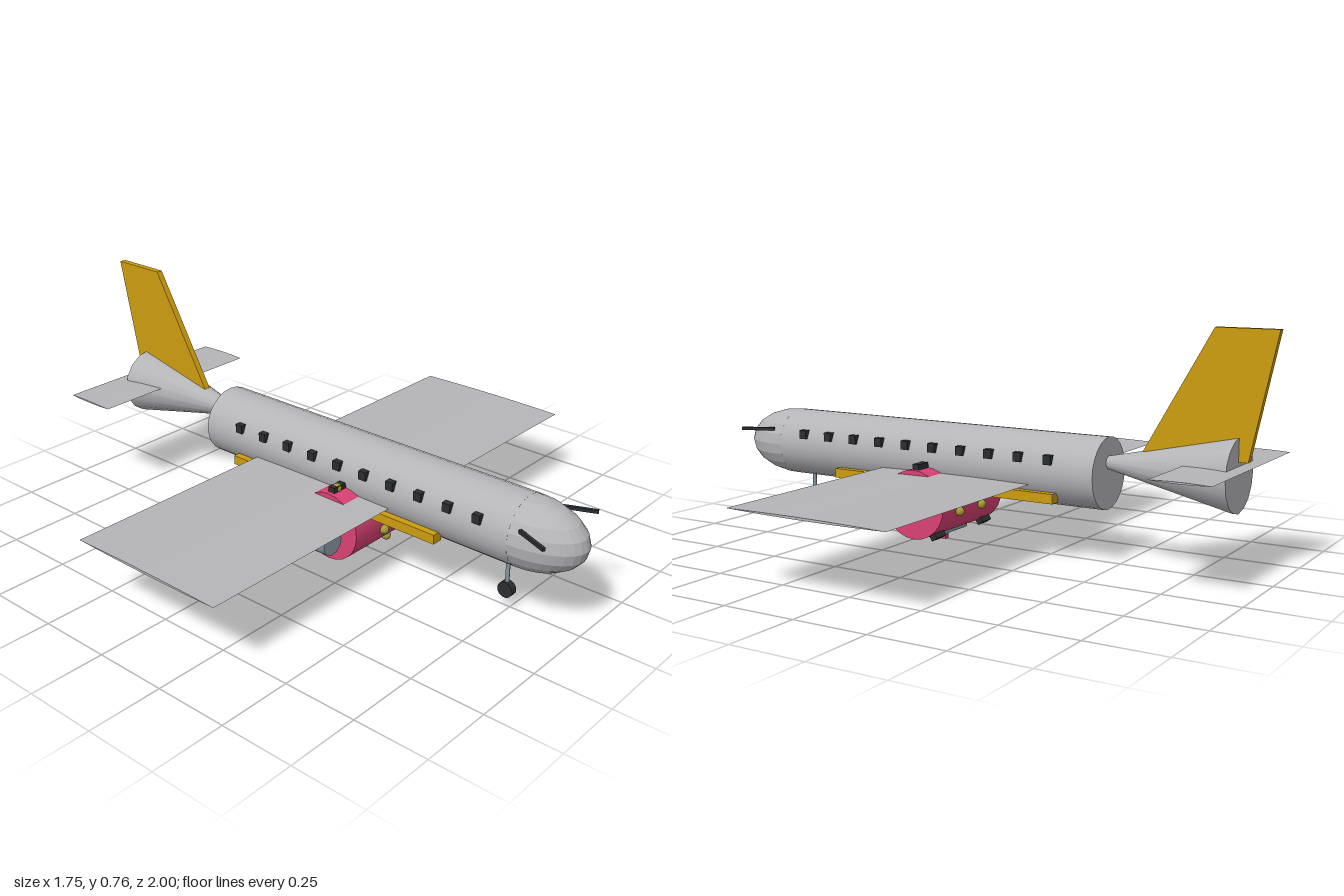
import * as THREE from 'three';

const mat = (name, color) => {
  const m = new THREE.MeshStandardMaterial({ color });
  m.name = name;
  return m;
};

export function createModel() {
  const root = new THREE.Group();
  const grey = mat('light grey', 0xb5b5b8);
  const gold = mat('gold', 0xcc9c0f);
  const pink = mat('pink', 0xd94274);
  const steel = mat('blue grey', 0x8698a0);
  const black = mat('black', 0x2a2d30);
  const olive = mat('olive gold', 0xa89a34);

  const add = (name, geo, material, x = 0, y = 0, z = 0) => {
    const mesh = new THREE.Mesh(geo, material);
    mesh.name = name;
    mesh.position.set(x, y, z);
    root.add(mesh);
    return mesh;
  };
  const box = (name, w, h, d, material, x, y, z) =>
    add(name, new THREE.BoxGeometry(w, h, d), material, x, y, z);

  // Cylinder along z: front radius, rear radius, length
  const tubeZ = (front, rear, len, sides) =>
    new THREE.CylinderGeometry(front, rear, len, sides).rotateX(Math.PI / 2);

  // Thin lens-shaped wing spanning x, between two z values
  const wing = (name, span, zFront, zBack, y, thick) => {
    const s = new THREE.Shape();
    const mid = -(zFront + zBack) / 2;
    s.moveTo(-zFront, y);
    s.quadraticCurveTo(mid, y - thick, -zBack, y);
    s.quadraticCurveTo(mid, y + thick, -zFront, y);
    const g = new THREE.ExtrudeGeometry(s, { depth: span, bevelEnabled: false, curveSegments: 8 });
    g.translate(0, 0, -span / 2).rotateY(Math.PI / 2);
    return add(name, g, grey);
  };

  // Fuselage with a faceted nose and a flared tail cone
  add('fuselage', tubeZ(0.117, 0.117, 1.25, 24), grey, 0, 0.288, 0.17);
  const nose = new THREE.SphereGeometry(1, 16, 10, Math.PI, Math.PI * -1)
    .scale(1, 1, 1);
  nose.dispose();
  const noseGeo = new THREE.SphereGeometry(1, 16, 10, 0, Math.PI)
    .scale(0.117, 0.117, 0.205).toNonIndexed();
  noseGeo.computeVertexNormals();
  add('nose', noseGeo, grey, 0, 0.288, 0.795);
  add('tailCone', tubeZ(0.02, 0.117, 0.435, 16), grey, 0, 0.323, -0.668);

  // Wings
  wing('mainWing', 1.75, 0.35, -0.225, 0.246, 0.008);
  wing('tailplane', 0.66, -0.735, -0.93, 0.35, 0.006);
  box('wingSpar', 0.98, 0.006, 0.12, steel, 0, 0.238, 0.09);

  // Swept fin
  const fin = new THREE.Shape([[0.575, 0.37], [0.915, 0.365], [1, 0.763], [0.8, 0.763]]
    .map(([a, b]) => new THREE.Vector2(a, b)));
  add('fin', new THREE.ExtrudeGeometry(fin, { depth: 0.022, bevelEnabled: false })
    .translate(0, 0, -0.011).rotateY(Math.PI / 2), gold);

  // Belly drum lying across the body
  const drumY = 0.15, drumZ = 0.167, drumR = 0.117;
  add('bellyDrum', new THREE.CylinderGeometry(drumR, drumR, 0.37, 24).rotateZ(Math.PI / 2),
    pink, 0, drumY, drumZ);
  box('drumPlate', 0.16, 0.012, 0.08, steel, 0, 0.037, drumZ);
  box('drumFoot', 0.018, 0.036, 0.018, pink, 0, 0.018, drumZ);

  // Parts fixed around the drum, angle measured from the front upwards
  const around = (deg, r) => {
    const a = THREE.MathUtils.degToRad(deg);
    return [drumY + r * Math.sin(a), drumZ + r * Math.cos(a)];
  };
  const bulb = new THREE.SphereGeometry(0.016, 10, 8);
  for (const [x, deg] of [[-0.145, 90], [-0.047, 192], [-0.047, -12], [0.09, 192], [0, -90], [0.05, -65]]) {
    const [y, z] = around(deg, drumR + 0.006);
    add('drumBulb', bulb, olive, x, y, z);
  }

  for (const s of [-1, 1]) {
    // Dark pads on the drum
    for (const deg of [90, 237]) {
      const [y, z] = around(deg, drumR + 0.005);
      box('drumPad', 0.056, 0.024, 0.024, black, s * 0.143, y, z)
        .rotation.x = THREE.MathUtils.degToRad(90 - deg);
    }
    // Engines, side rails and nose probes
    add('engine', tubeZ(0.041, 0.048, 0.17, 16), steel, s * 0.315, 0.19, 0.212);
    box('sideRail', 0.04, 0.032, 0.86, gold, s * 0.104, 0.211, 0.11);
    box('noseProbe', 0.011, 0.011, 0.12, black, s * 0.128, 0.34, 0.887)
      .rotation.y = s * 0.4;
    // Cabin windows
    for (let i = 0; i < 10; i++)
      box('window', 0.025, 0.03, 0.028, black, s * 0.109, 0.333, 0.687 - i * 0.1093);
  }

  // Nose gear
  add('noseStrut', new THREE.CylinderGeometry(0.007, 0.007, 0.13, 8), steel, 0, 0.125, 0.735);
  add('noseWheel', new THREE.CylinderGeometry(0.027, 0.027, 0.024, 14).rotateZ(Math.PI / 2),
    black, 0, 0.06, 0.735);

  return root;
}
